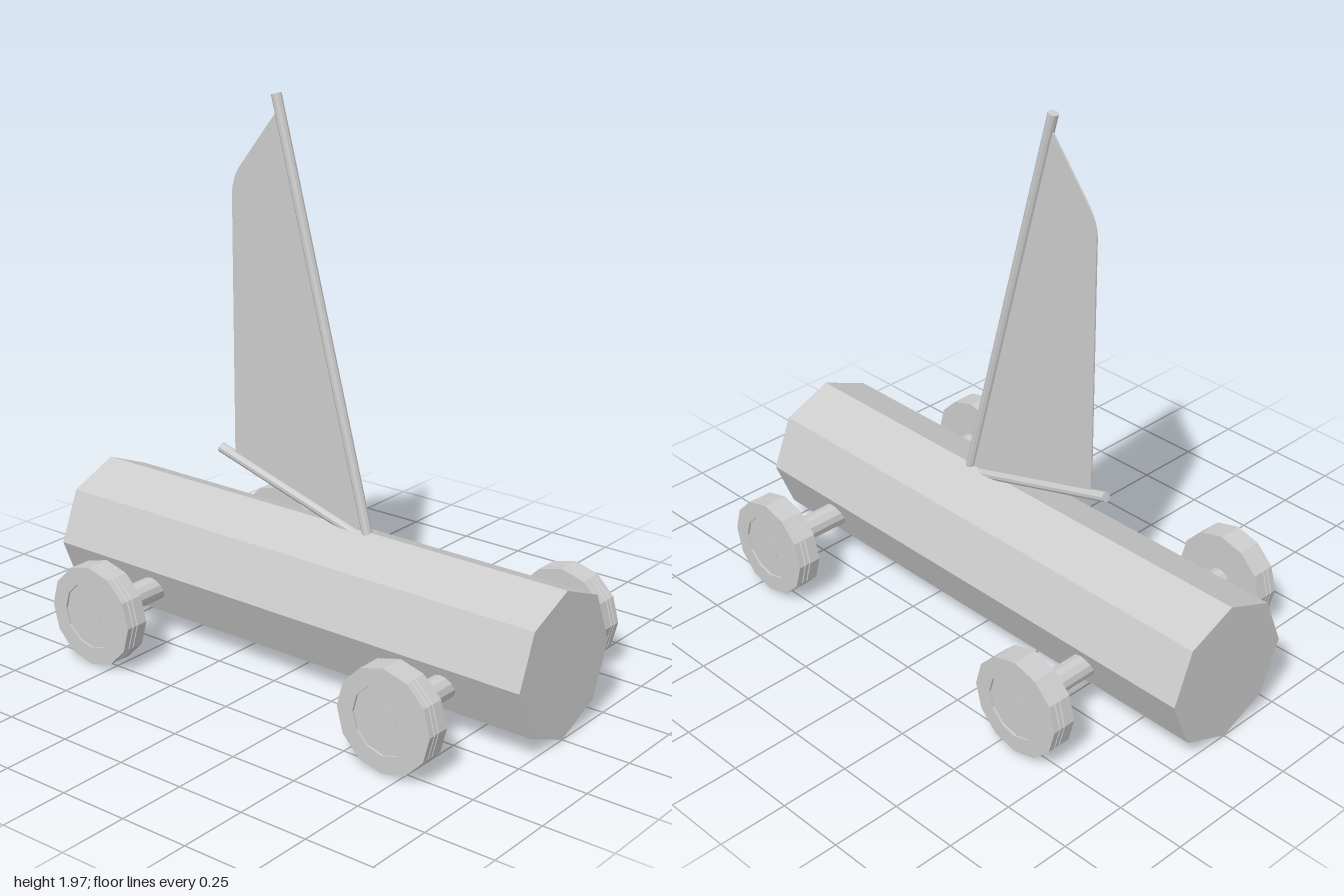
import * as THREE from 'three';

const material = new THREE.MeshStandardMaterial({ color: 0xcccccc, flatShading: true });

function addMesh(parent, name, geometry) {
  const mesh = new THREE.Mesh(geometry, material);
  mesh.name = name;
  parent.add(mesh);
  return mesh;
}

// Straight round pole between two points
function addPole(parent, name, from, to, radius, sides) {
  const direction = to.clone().sub(from);
  const pole = addMesh(parent, name, new THREE.CylinderGeometry(radius, radius, direction.length(), sides));
  pole.position.copy(from).add(to).multiplyScalar(0.5);
  pole.quaternion.setFromUnitVectors(new THREE.Vector3(0, 1, 0), direction.normalize());
  return pole;
}

// Wheel turned around y: flat inner face, two tread grooves, recessed outer disc
function wheelGeometry() {
  const profile = [
    [0, 0], [0.18, 0], [0.18, 0.042], [0.174, 0.045], [0.18, 0.048],
    [0.18, 0.062], [0.174, 0.065], [0.18, 0.068], [0.18, 0.09],
    [0.118, 0.09], [0.118, 0.082], [0, 0.082],
  ].map(([r, h]) => new THREE.Vector2(r, h));
  return new THREE.LatheGeometry(profile, 12);
}

export function createModel() {
  const model = new THREE.Group();
  model.name = 'sailCar';

  // Octagonal body with an edge along the top
  const body = addMesh(model, 'body', new THREE.CylinderGeometry(0.26, 0.26, 2, 8));
  body.rotation.x = Math.PI / 2;
  body.position.y = 0.262;

  // Axles with a wheel at each end
  const wheel = wheelGeometry();
  for (const [end, z] of [['front', 0.69], ['rear', -0.575]]) {
    addPole(model, end + 'Axle', new THREE.Vector3(-0.543, 0.185, z), new THREE.Vector3(0.543, 0.185, z), 0.045, 12);
    for (const side of [-1, 1]) {
      const mesh = addMesh(model, end + (side > 0 ? 'LeftWheel' : 'RightWheel'), wheel);
      mesh.rotation.z = -side * Math.PI / 2;
      mesh.position.set(side * 0.46, 0.185, z);
    }
  }

  // Raked mast and rising boom
  addPole(model, 'mast', new THREE.Vector3(0, 0.5, 0.208), new THREE.Vector3(0, 1.967, -0.184), 0.018, 10);
  addPole(model, 'boom', new THREE.Vector3(0, 0.5, 0.17), new THREE.Vector3(0, 0.682, -0.447), 0.018, 10);

  // Sail outline drawn as (-z, y), with a rounded upper trailing corner
  const outline = new THREE.Shape();
  outline.moveTo(-0.195, 0.515);
  outline.lineTo(0.17, 1.91);
  outline.lineTo(0.188, 1.9);
  outline.lineTo(0.34, 1.71);
  outline.quadraticCurveTo(0.38, 1.66, 0.38, 1.6);
  outline.lineTo(0.38, 0.662);
  outline.lineTo(-0.11, 0.515);
  outline.closePath();
  const sailGeometry = new THREE.ExtrudeGeometry(outline, { depth: 0.006, bevelEnabled: false, curveSegments: 6 });
  sailGeometry.translate(0, 0, -0.003);
  sailGeometry.rotateY(Math.PI / 2);
  addMesh(model, 'sail', sailGeometry);

  return model;
}
